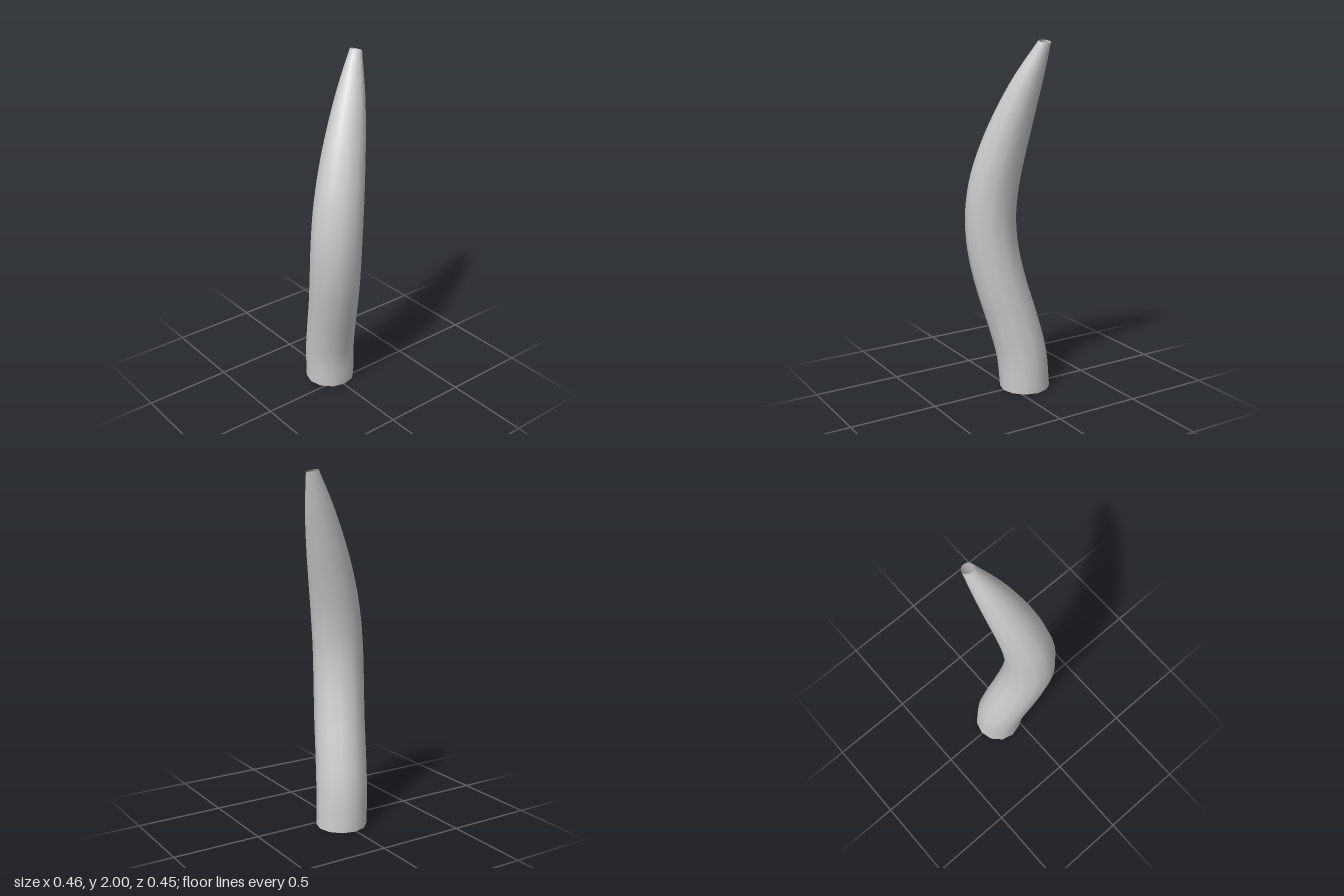
import * as THREE from 'three';

const SIDES = 12;
const RINGS = 40;

// Spine stations from base to tip: x, y, z, radius
const STATIONS = [
  [-0.088, 0, -0.007, 0.144],
  [-0.073, 0.2, 0.005, 0.145],
  [-0.028, 0.4, 0.027, 0.145],
  [0.027, 0.6, 0.053, 0.145],
  [0.069, 0.8, 0.075, 0.145],
  [0.087, 1.0, 0.08, 0.144],
  [0.078, 1.2, 0.058, 0.14],
  [0.048, 1.4, 0.011, 0.128],
  [0.008, 1.6, -0.051, 0.107],
  [-0.038, 1.8, -0.12, 0.076],
  [-0.088, 1.991, -0.191, 0.034],
];

// Smooth tapering tube swept along the spine, open at both ends
function hornGeometry() {
  const spine = new THREE.CatmullRomCurve3(
    STATIONS.map(([x, y, z]) => new THREE.Vector3(x, y, z)), false, 'catmullrom');
  const radii = new THREE.CatmullRomCurve3(
    STATIONS.map((s) => new THREE.Vector3(s[3], 0, 0)), false, 'catmullrom');
  const baseNormal = new THREE.Vector3(0, 1, 0);
  const tipNormal = new THREE.Vector3(0, 1, -0.25).normalize();
  const positions = [];
  const indices = [];

  for (let i = 0; i <= RINGS; i++) {
    const t = i / RINGS;
    const center = spine.getPoint(t);
    const radius = radii.getPoint(t).x;
    // Rings follow the spine, easing into a level base and a slightly tilted tip
    const normal = spine.getTangent(t)
      .lerp(baseNormal, Math.max(0, 1 - t / 0.15))
      .lerp(tipNormal, Math.max(0, (t - 0.85) / 0.15))
      .normalize();
    const u = new THREE.Vector3(1, 0, 0).addScaledVector(normal, -normal.x).normalize();
    const v = new THREE.Vector3().crossVectors(u, normal);
    for (let j = 0; j < SIDES; j++) {
      const a = (j / SIDES) * Math.PI * 2;
      const p = center.clone()
        .addScaledVector(u, radius * Math.cos(a))
        .addScaledVector(v, radius * Math.sin(a));
      positions.push(p.x, p.y, p.z);
      if (i < RINGS) {
        const p0 = i * SIDES + j;
        const p1 = i * SIDES + ((j + 1) % SIDES);
        indices.push(p0, p0 + SIDES, p1, p1, p0 + SIDES, p1 + SIDES);
      }
    }
  }

  const geometry = new THREE.BufferGeometry();
  geometry.setAttribute('position', new THREE.Float32BufferAttribute(positions, 3));
  geometry.setIndex(indices);
  geometry.computeVertexNormals();
  return geometry;
}

export function createModel() {
  const group = new THREE.Group();
  const material = new THREE.MeshStandardMaterial({ color: 0xcccccc, side: THREE.DoubleSide });
  const horn = new THREE.Mesh(hornGeometry(), material);
  horn.name = 'horn';
  group.add(horn);
  return group;
}
